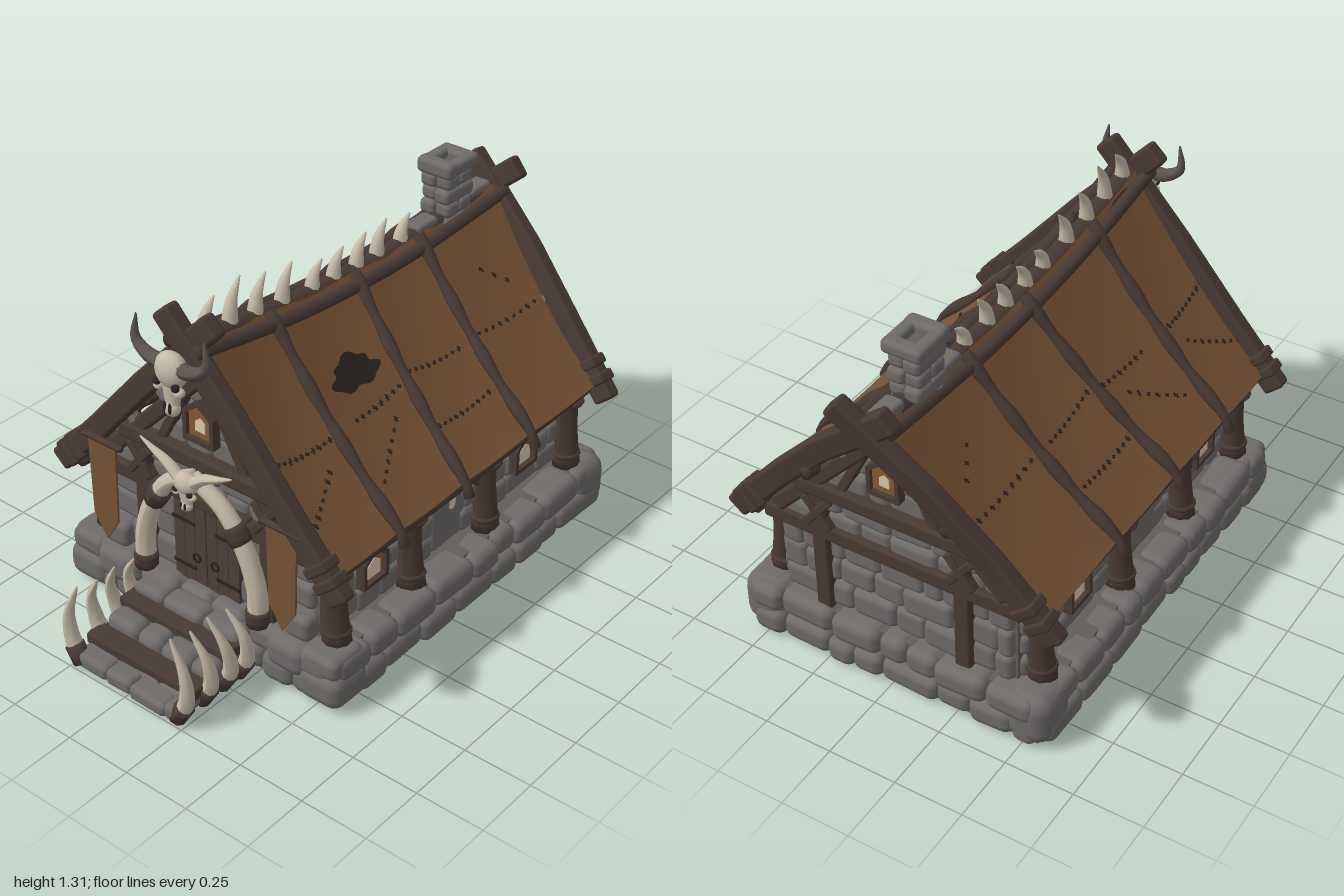
import * as THREE from 'three';
import { mergeGeometries } from 'three/addons/utils/BufferGeometryUtils.js';
import { RoundedBoxGeometry } from 'three/addons/geometries/RoundedBoxGeometry.js';
import { ParametricGeometry } from 'three/addons/geometries/ParametricGeometry.js';

const mat = (name, color, side = THREE.FrontSide) => Object.assign(new THREE.MeshStandardMaterial({ color, side }), { name });
const M = {
  stone: mat('stone', 0x6e6b69), mortar: mat('mortar', 0x615d5b), wood: mat('dark wood', 0x483a33),
  door: mat('door wood', 0x4f3f39), cloth: mat('hide cloth', 0x765235, THREE.DoubleSide), bone: mat('bone', 0xc5baa6),
  horn: mat('grey horn', 0x5c5350), glow: mat('window glow', 0xdccab2), frame: mat('amber frame', 0x85592f),
  dark: mat('dark', 0x2a2321, THREE.DoubleSide),
};
const V = (x, y, z) => new THREE.Vector3(x, y, z);
const lerp = THREE.MathUtils.lerp, SIDES = [1, -1];
const outline = pts => pts.map(p => new THREE.Vector2(...p));
const plate = (shape, depth) => new THREE.ExtrudeGeometry(shape, { depth, bevelEnabled: false });
const taper = (a, b) => t => lerp(a, b, t ** 1.6);
// Sagging roof surface: u runs ridge to eave, v counts the bays front to back
const EAVE_Z = [0.63, 0.3, -0.05, -0.43, -0.87], RIDGE_Z = [0.63, 0.3, -0.13, -0.48, -0.95];
const ridgeY = z => 1.085 + 0.11 * ((z + 0.4) / 1.05) ** 2;
function roofPoint(s, u, v, lift = 0) {
  const k = Math.min(3, Math.floor(v)), t = v - k;
  const z = lerp(lerp(RIDGE_Z[k], RIDGE_Z[k + 1], t), lerp(EAVE_Z[k], EAVE_Z[k + 1], t), u);
  const top = ridgeY(z), sag = 0.02 * Math.sin(Math.PI * t) * Math.sin(Math.PI * (0.1 + 0.8 * u));
  return V(s * (0.03 + 0.54 * u + lift), top + (0.525 - top) * (1.2 * u - 0.2 * u * u) - sag + lift, z);
}

export function createModel() {
  const model = new THREE.Group();
  model.name = 'hideRoofLodge';
  let seed = 7;
  const rnd = (a, b) => a + (b - a) * ((seed = (seed * 16807) % 2147483647) / 2147483647);
  function part(name, geo, material, x = 0, y = 0, z = 0, ry = 0) {
    const m = new THREE.Mesh(geo, material);
    m.name = name;
    m.position.set(x, y, z);
    m.rotation.y = ry;
    model.add(m);
    return m;
  }
  const rounded = (w, h, d, r = 0.35) => new RoundedBoxGeometry(w, h, d, 2, Math.min(w, h, d) * r);
  // Squared timber between two points; w lies across, d along z
  function beam(name, a, b, w, d) {
    const dir = b.clone().sub(a), m = part(name, rounded(w, dir.length() + 0.02, d, 0.22), M.wood);
    m.position.copy(a).add(b).multiplyScalar(0.5);
    m.quaternion.setFromUnitVectors(V(0, 1, 0), dir.normalize());
  }
  // Closed round rod along a smooth path with a radius rule
  function rod(name, pts, radius, material = M.wood, n = 16, sides = 9) {
    const curve = new THREE.CatmullRomCurve3(pts), geo = new THREE.TubeGeometry(curve, n, 1, sides), p = geo.attributes.position;
    for (let i = 0; i <= n; i++) {
      const t = THREE.MathUtils.clamp((i - 1) / (n - 2), 0, 1), r = i % n === 0 ? 0 : radius(t);
      const from = curve.getPointAt(i / n), to = curve.getPointAt(t);
      for (let j = 0, k = i * (sides + 1); j <= sides; j++, k++) {
        const q = V(0, 0, 0).fromBufferAttribute(p, k).sub(from).multiplyScalar(r).add(to);
        p.setXYZ(k, q.x, q.y, q.z);
      }
    }
    geo.computeVertexNormals();
    part(name, geo, material);
  }
  // Uneven courses of rounded stones along a face
  function stones(name, o) {
    const list = [], h = (o.y1 - o.y0) / o.rows;
    for (let r = 0; r < o.rows; r++) {
      const y = o.y0 + h * (r + 0.5), half = o.half ? o.half(y) : o.len / 2;
      for (let s = -half, w; s < half - 0.02; s += w) {
        w = rnd(o.min, o.max);
        if (half - s - w < o.min * 0.6) w = half - s;
        const g = rounded(w + 0.006, h * rnd(0.98, 1.16), o.depth * rnd(0.92, 1.12), 0.36);
        list.push(g.rotateZ(rnd(-0.07, 0.07)).translate(s + w / 2, y + rnd(-0.006, 0.006), rnd(-0.005, 0.005)));
      }
    }
    part(name, mergeGeometries(list), M.stone, o.x, 0, o.z, o.ry);
  }

  // Foundation and walls
  const base = { y0: 0.005, y1: 0.195, rows: 2, depth: 0.13, min: 0.1, max: 0.22, len: 1.1, x: 0 };
  const face = { depth: 0.07, min: 0.07, max: 0.19, x: 0, y0: 0.2, y1: 1, rows: 8 };
  const half = y => y < 0.58 ? 0.44 : Math.max(0.03, (1.03 - y) * 0.88);
  const wall = new THREE.Shape(outline([[-0.45, 0.15], [0.45, 0.15], [0.45, 0.56], [0, 1.05], [-0.45, 0.56]]));
  part('foundationCore', new THREE.BoxGeometry(1.1, 0.19, 1.5), M.mortar, 0, 0.095, -0.135);
  part('wallCore', plate(wall, 1.39), M.mortar, 0, 0, -0.84);
  for (const s of SIDES) {
    stones('foundationSide', { ...base, len: 1.5, x: s * 0.535, z: -0.135, ry: s * Math.PI / 2 });
    stones('sideWallStones', { ...face, len: 1.36, y1: 0.54, rows: 4, x: s * 0.44, z: -0.145, ry: s * Math.PI / 2 });
    part('sideSlab', rounded(0.07, 0.27, 0.17, 0.3), M.stone, s * 0.447, 0.35, -0.09);
    for (const [w, h, d, x, y, z] of [[0.17, 0.2, 0.18, 0.515, 0.105, -0.83], [0.18, 0.13, 0.18, 0.515, 0.07, 0.565],
      [0.15, 0.085, 0.16, 0.515, 0.16, 0.565], [0.17, 0.13, 0.14, 0.38, 0.135, 0.59], [0.11, 0.1, 0.08, 0.4, 0.245, 0.58]])
      part('boulder', rounded(w, h, d), M.stone, s * x, y, z);
  }
  stones('foundationFront', { ...base, z: 0.58, ry: 0 });
  stones('foundationBack', { ...base, z: -0.86, ry: Math.PI });
  stones('frontWallStones', { ...face, half, z: 0.54, ry: 0 });
  stones('backWallStones', { ...face, half, z: -0.83, ry: Math.PI });

  // Hide roof with ribs, eaves, ridge and stitched seams
  const seams = [[0.5, 0.1, 0.52, 0.9], [0.8, 0.1, 0.62, 0.7], [0.5, 1.3, 0.48, 1.9], [0.78, 1.2, 0.58, 1.7],
    [0.45, 2.1, 0.48, 2.8], [0.72, 2.1, 0.72, 2.85], [0.48, 3.1, 0.5, 3.8], [0.25, 3.45, 0.35, 3.65]];
  for (const s of SIDES) {
    part('roofHide', new ParametricGeometry((u, v, p) => p.copy(roofPoint(s, u, v * 4)), 12, 48), M.cloth);
    for (const v of [1, 2, 3]) {
      const pts = [0, 0.25, 0.5, 0.75, 1].map(u => roofPoint(s, u, v, 0.005));
      rod('roofRib', [...pts, V(s * 0.595, 0.48, EAVE_Z[v])], t => 0.021 + 0.004 * Math.sin(t * 25), M.wood, 22);
    }
    rod('eaveLog', [0.63, 0.1, -0.4, -0.88].map(z => V(s * 0.53, 0.487 + 0.02 * Math.abs(z), z)), () => 0.027);
    rod('ridgeLog', [0.66, 0.3, 0, -0.4, -0.95].map(z => V(s * 0.06, ridgeY(z) - 0.035, z)), () => 0.024);
    rod('purlinEnd', [V(s * 0.25, 0.78, -0.8), V(s * 0.26, 0.8, -0.94)], () => 0.022, M.wood, 4);
    const list = [];
    for (const [u0, v0, u1, v1] of seams)
      for (let i = 0, n = Math.round((v1 - v0) * 12); i <= n; i++) {
        const p = roofPoint(s, lerp(u0, u1, i / n), lerp(v0, v1, i / n), 0.001);
        const cross = new THREE.BoxGeometry(rnd(0.012, 0.024), 0.006, 0.006).rotateY(rnd(-0.5, 0.5));
        for (const g of [new THREE.BoxGeometry(0.004, 0.005, 0.018), cross]) list.push(g.rotateZ(-s * 0.8).translate(p.x, p.y, p.z));
      }
    part('seamStitches', mergeGeometries(list), M.dark);
  }
  rod('ridgeStrip', [0.64, 0.3, 0, -0.4, -0.93].map(z => V(0, ridgeY(z) - 0.035, z)), () => 0.042);
  for (const z of [-0.86, -0.55]) part('ridgeStone', rounded(0.07, 0.04, 0.11), M.stone, -0.005, ridgeY(z), z);
  part('roofTear', new ParametricGeometry((a, r, p) => {
    const q = a * Math.PI * 2, k = r * (1 + 0.16 * Math.sin(q * 3) + 0.1 * Math.sin(q * 7));
    p.copy(roofPoint(1, 0.33 + 0.07 * k * Math.sin(q), 1.53 + 0.27 * k * Math.cos(q), 0.004));
  }, 36, 4), M.dark);
  // Bone spikes along the ridge
  for (const [z, h] of [[0.57, 0.1], [0.45, 0.14], [0.33, 0.12], [0.2, 0.12], [0.05, 0.08], [-0.06, 0.09], [-0.18, 0.1], [-0.29, 0.11], [-0.42, 0.08]]) {
    const y = ridgeY(z);
    rod('ridgeSpike', [V(0, y - 0.03, z), V(0, y + h * 0.5, z - 0.015), V(0, y + h, z - 0.055)], taper(0.029, 0.003), M.bone, 10);
  }
  // Chimney
  part('chimneyCore', new THREE.BoxGeometry(0.1, 0.25, 0.12), M.mortar, -0.01, 1.14, -0.7);
  for (const s of SIDES) {
    for (let i = 0; i < 8; i++)
      part('chimneyStone', rounded(0.066, 0.057, (i >> 1) % 2 === (s > 0 ? 0 : 1) ? 0.09 : 0.07), M.stone,
        -0.01 + s * 0.03, 1.06 + (i >> 1) * 0.053, -0.7 + (i % 2 ? 0.035 : -0.035));
    part('chimneyCap', rounded(0.15, 0.055 + s * 0.005, 0.055), M.stone, -0.01, 1.27, -0.7 + s * 0.06);
    part('chimneyCap', rounded(0.05, 0.05, 0.14), M.stone, -0.01 + s * 0.05, 1.27, -0.7);
  }

  // Timber frame, mirrored left and right
  const front = [[0.61, 0.475, 0.63], [0.42, 0.685, 0.63], [0.2, 0.94, 0.63], [-0.09, 1.25, 0.63]];
  const back = [[0.605, 0.475, -0.865], [0.4, 0.71, -0.89], [0.2, 0.92, -0.925], [-0.09, 1.17, -0.975]];
  for (const s of SIDES) {
    for (const path of [front, back]) {
      const pts = path.map(([x, y, z]) => V(s * x, y, z + s * 0.008));
      for (let i = 0; i < 3; i++) beam('gableRafter', pts[i], pts[i + 1], 0.085, 0.06);
      for (const t of [0.2, 0.4]) beam('rafterLashing', pts[0].clone().lerp(pts[1], t), pts[0].clone().lerp(pts[1], t + 0.06), 0.1, 0.078);
    }
    for (const z of [0.58, -0.862]) {
      const out = z + Math.sign(z) * 0.015, x = s * 0.27;
      beam('wallPost', V(x, 0.2, z), V(x, 0.7, z), 0.06, 0.05);
      beam('midRail', V(s * 0.16, 0.52, z), V(s * 0.48, 0.52, z), 0.06, 0.05);
      beam('innerRafter', V(s * 0.43, 0.565, z), V(0, 1.015, z), 0.055, 0.06);
      beam('gableBrace', V(s * 0.18, 0.72, z), V(s * 0.07, 0.93, z), 0.035, 0.04);
      for (const d of SIDES) beam('crossLashing', V(x - 0.04, 0.6 - d * 0.05, out), V(x + 0.04, 0.6 + d * 0.05, out), 0.03, 0.04);
      for (const [px, py] of [[0.3, 0.755], [0.155, 0.9]])
        part('wedgeStone', rounded(0.05, 0.032, 0.04).rotateZ(s * 0.8), M.stone, s * px, py, out);
    }
    for (const z of [0.53, 0.14, -0.28, -0.78]) {
      rod('sidePost', [V(s * 0.505, 0.19, z), V(s * 0.495, 0.35, z), V(s * 0.49, 0.53, z)], t => 0.052 - 0.012 * Math.sin(t * 2.6), M.wood, 12);
      for (const y of [0.24, 0.46]) part('postBand', new THREE.TorusGeometry(0.044, 0.011, 6, 14).rotateX(Math.PI / 2), M.wood, s * 0.5, y, z);
    }
    for (const [z0, z1] of [[0.11, -0.01], [-0.25, -0.13]]) beam('kneeBrace', V(s * 0.485, 0.39, z0), V(s * 0.485, 0.5, z1), 0.03, 0.03);
  }
  for (const z of [0.59, -0.867]) beam('tieBeam', V(-0.345, 0.7, z), V(0.345, 0.7, z), 0.06, 0.06);
  beam('backRail', V(-0.2, 0.52, -0.862), V(0.2, 0.52, -0.862), 0.06, 0.05);

  // Pointed windows: timber surround, amber inner face, pale opening
  function windowAt(w, h, x, y, z, ry, open) {
    const five = k => outline([[-k, -h / w * k], [k, -h / w * k], [k, h / w * k * 0.5], [0, h / w * k * 1.15], [-k, h / w * k * 0.5]]);
    const shape = new THREE.Shape(five(w / 2));
    shape.holes.push(new THREE.Path(five(w * 0.38)));
    part('windowFrame', plate(shape, 0.035), M.wood, x, y, z, ry);
    part('windowInner', plate(new THREE.Shape(five(w * 0.4)), 0.008).translate(0, 0, 0.012), M.frame, x, y, z, ry);
    part('windowPane', plate(new THREE.Shape(five(w * open)), 0.004).translate(0, -h * 0.06, 0.02), M.glow, x, y, z, ry);
  }
  windowAt(0.13, 0.15, 0, 0.85, 0.575, 0, 0.16);
  windowAt(0.12, 0.14, 0, 0.85, -0.86, Math.PI, 0.15);
  // Side windows and double door
  beam('doorLintel', V(-0.18, 0.535, 0.58), V(0.18, 0.535, 0.58), 0.05, 0.05);
  for (const s of SIDES) {
    for (const z of [0.32, -0.53]) windowAt(0.13, 0.135, s * 0.465, 0.365, z, s * Math.PI / 2, 0.25);
    part('wallChink', new THREE.CircleGeometry(0.02, 7).scale(1, 1.4, 1), M.glow, s * 0.484, 0.375, -0.11, s * Math.PI / 2);
    for (const x of [0.025, 0.072, 0.119]) part('doorPlank', rounded(0.047, 0.34, 0.03, 0.12), M.door, s * x, 0.35, 0.575);
    for (const y of [0.25, 0.43]) part('doorHinge', new THREE.BoxGeometry(0.1, 0.012, 0.008), M.dark, s * 0.095, y, 0.59);
    part('doorRing', new THREE.TorusGeometry(0.015, 0.004, 6, 16), M.dark, s * 0.04, 0.3, 0.594);
  }
  // Entrance steps
  part('stepCore', new THREE.BoxGeometry(0.42, 0.05, 0.3), M.mortar, 0, 0.025, 0.8);
  for (const [y0, y1, z, depth] of [[0, 0.055, 0.955, 0.09], [0, 0.06, 0.88, 0.12], [0.02, 0.115, 0.8, 0.1], [0.03, 0.12, 0.72, 0.12], [0.1, 0.175, 0.665, 0.1]])
    stones('stepStones', { len: 0.46, rows: 1, x: 0, ry: 0, min: 0.09, max: 0.17, y0, y1, z, depth });
  for (const [y, z] of [[0.07, 0.89], [0.125, 0.73]]) beam('stepTimber', V(-0.23, y, z), V(0.23, y, z), 0.045, 0.08);

  // Rib bones beside the steps, tusk arch and banners
  const flag = new THREE.Shape(outline([[-0.062, 0], [0.062, 0], [0.055, -0.3], [0, -0.39], [-0.055, -0.3]]));
  for (const s of SIDES) {
    for (const [z, h, lean] of [[0.975, 0.33, 0.01], [0.86, 0.305, 0.035], [0.765, 0.31, 0.05], [0.685, 0.29, 0.04]]) {
      rod('stepRib', [V(s * 0.222, 0.02, z), V(s * 0.256, 0.1, z), V(s * 0.256, 0.2, z + lean / 2), V(s * 0.205, h, z + lean)],
        taper(0.03, 0.004), M.bone, 14);
      rod('ribBinding', [V(s * 0.212, 0.012, z), V(s * 0.248, 0.07, z)], () => 0.034, M.wood, 4);
    }
    rod('archTusk', [V(s * 0.25, 0.19, 0.62), V(s * 0.245, 0.33, 0.62), V(s * 0.2, 0.47, 0.625), V(s * 0.12, 0.59, 0.63), V(0, 0.67, 0.64)],
      t => 0.038 - 0.011 * t, M.bone, 22, 12);
    rod('tuskBinding', [V(s * 0.19, 0.49, 0.625), V(s * 0.155, 0.545, 0.628)], () => 0.041, M.wood, 5);
    rod('tuskBinding', [V(s * 0.25, 0.19, 0.62), V(s * 0.248, 0.25, 0.62)], () => 0.042, M.wood, 5);
    part('banner', plate(flag, 0.008), M.cloth, s * 0.387, 0.645, 0.655);
    rod('bannerPole', [V(s * 0.3, 0.652, 0.658), V(s * 0.47, 0.652, 0.658)], () => 0.012, M.wood, 4);
  }
  // Horned skulls: broad brow narrowing to a long snout
  function skull(w, h, d, y, z, hornPts, r, hornMat) {
    const blob = (name, m, x, by, bz, sx, sy, sz) =>
      part(name, new THREE.SphereGeometry(1, 14, 10).scale(w * sx, h * sy, d * sz), m, w * x, y + h * by, z + d * bz);
    const snout = new THREE.CylinderGeometry(w * 0.72, w * 0.4, h * 1.3, 14).scale(1, 1, d / w);
    part('snout', snout, M.bone, 0, y - h * 0.15, z);
    blob('brow', M.bone, 0, 0.45, 0, 1, 0.55, 1);
    blob('muzzle', M.bone, 0, -0.74, 0.1, 0.5, 0.25, 0.6);
    for (const s of SIDES) {
      blob('eyeSocket', M.dark, s * 0.62, 0.1, 0.62, 0.24, 0.13, 0.3);
      blob('nostril', M.dark, s * 0.17, -0.66, 0.6, 0.1, 0.18, 0.14);
      blob('cheekBone', M.bone, s * 0.68, -0.1, 0.3, 0.3, 0.14, 0.45);
      rod('skullHorn', hornPts.map(([a, b]) => V(s * a, b, z)), taper(r, 0.003), hornMat);
    }
  }
  skull(0.062, 0.115, 0.042, 1.055, 0.715, [[0.03, 1.12], [0.09, 1.125], [0.145, 1.165], [0.14, 1.255]], 0.027, M.horn);
  skull(0.05, 0.073, 0.032, 0.63, 0.672, [[0.02, 0.665], [0.08, 0.71], [0.14, 0.735], [0.195, 0.76]], 0.022, M.bone);
  return model;
}
